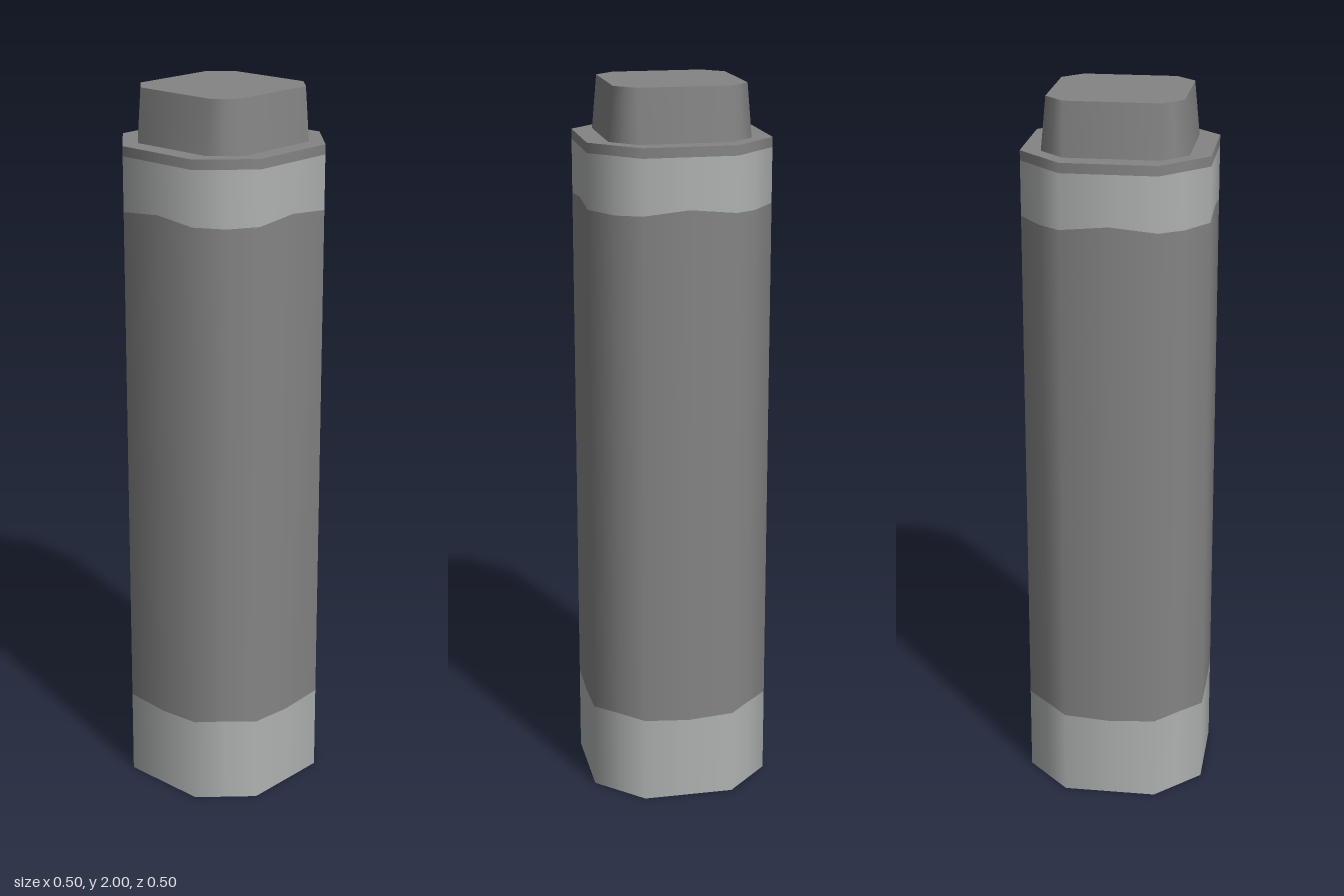
import * as THREE from 'three';

// Chamfered-square outline, counter-clockwise from above, with rounded shading
// normals at the corners and a midpoint on every edge.
function outline(hx, hz, cx, cz) {
  const c = [[-cx, hz], [cx, hz], [hx, cz], [hx, -cz], [cx, -hz], [-cx, -hz], [-hx, -cz], [-hx, cz]];
  const corners = c.map(([x, z], i) => {
    const p = c[(i + 7) % 8], q = c[(i + 1) % 8];
    const n = new THREE.Vector2(p[1] - q[1], q[0] - p[0]).normalize();
    return { x, z, n };
  });
  return corners.flatMap((a, i) => {
    const b = corners[(i + 1) % 8];
    const mid = { x: (a.x + b.x) / 2, z: (a.z + b.z) / 2, n: a.n.clone().add(b.n).normalize() };
    return [a, mid];
  });
}

// Side wall between two rings; heights are functions of the point index
function wall(low, high, yLow, yHigh, tilt = 0) {
  const pos = [], nor = [], idx = [], count = low.length;
  for (let i = 0; i < count; i++) {
    const a = low[i], b = high[i], j = (i + 1) % count;
    pos.push(a.x, yLow(i), a.z, b.x, yHigh(i), b.z);
    for (const p of [a, b]) {
      const n = new THREE.Vector3(p.n.x, tilt, p.n.y).normalize();
      nor.push(n.x, n.y, n.z);
    }
    idx.push(2 * i, 2 * j, 2 * j + 1, 2 * i, 2 * j + 1, 2 * i + 1);
  }
  const g = new THREE.BufferGeometry();
  g.setAttribute('position', new THREE.Float32BufferAttribute(pos, 3));
  g.setAttribute('normal', new THREE.Float32BufferAttribute(nor, 3));
  g.setIndex(idx);
  return g;
}

// Flat lid over a ring, facing up or down
function lid(ring, y, up) {
  const shape = new THREE.Shape(ring.map(p => new THREE.Vector2(p.x, up ? -p.z : p.z)));
  return new THREE.ShapeGeometry(shape).rotateX(up ? -Math.PI / 2 : Math.PI / 2).translate(0, y, 0);
}

export function createModel() {
  const group = new THREE.Group();
  const grey = new THREE.MeshStandardMaterial({ name: 'mid grey', color: 0x848484 });
  const pale = new THREE.MeshStandardMaterial({ name: 'pale grey', color: 0xaeb2b0 });
  const add = (name, geometry, material) => {
    const mesh = new THREE.Mesh(geometry, material);
    mesh.name = name;
    group.add(mesh);
  };

  const body = outline(0.25, 0.252, 0.126, 0.129);
  const capBase = outline(0.193, 0.196, 0.125, 0.128);
  const capTop = outline(0.18, 0.182, 0.125, 0.128);

  // Gently waving colour borders: corner, flat side, corner, chamfer
  const at = y => () => y;
  const lower = i => [0.243, 0.234, 0.243, 0.244][i % 4];
  const upper = i => [1.678, 1.69, 1.678, 1.672][i % 4];

  // Body, bottom to top
  add('bottomFace', lid(body, 0, false), pale);
  add('bottomBand', wall(body, body, at(0), lower), pale);
  add('bodyWall', wall(body, body, lower, upper), grey);
  add('topBand', wall(body, body, upper, at(1.828)), pale);
  add('rim', wall(body, body, at(1.828), at(1.855)), grey);
  add('shoulder', lid(body, 1.855, true), grey);

  // Tapered cap
  add('capWall', wall(capBase, capTop, at(1.855), at(2), 0.09), grey);
  add('capTop', lid(capTop, 2, true), grey);
  return group;
}
